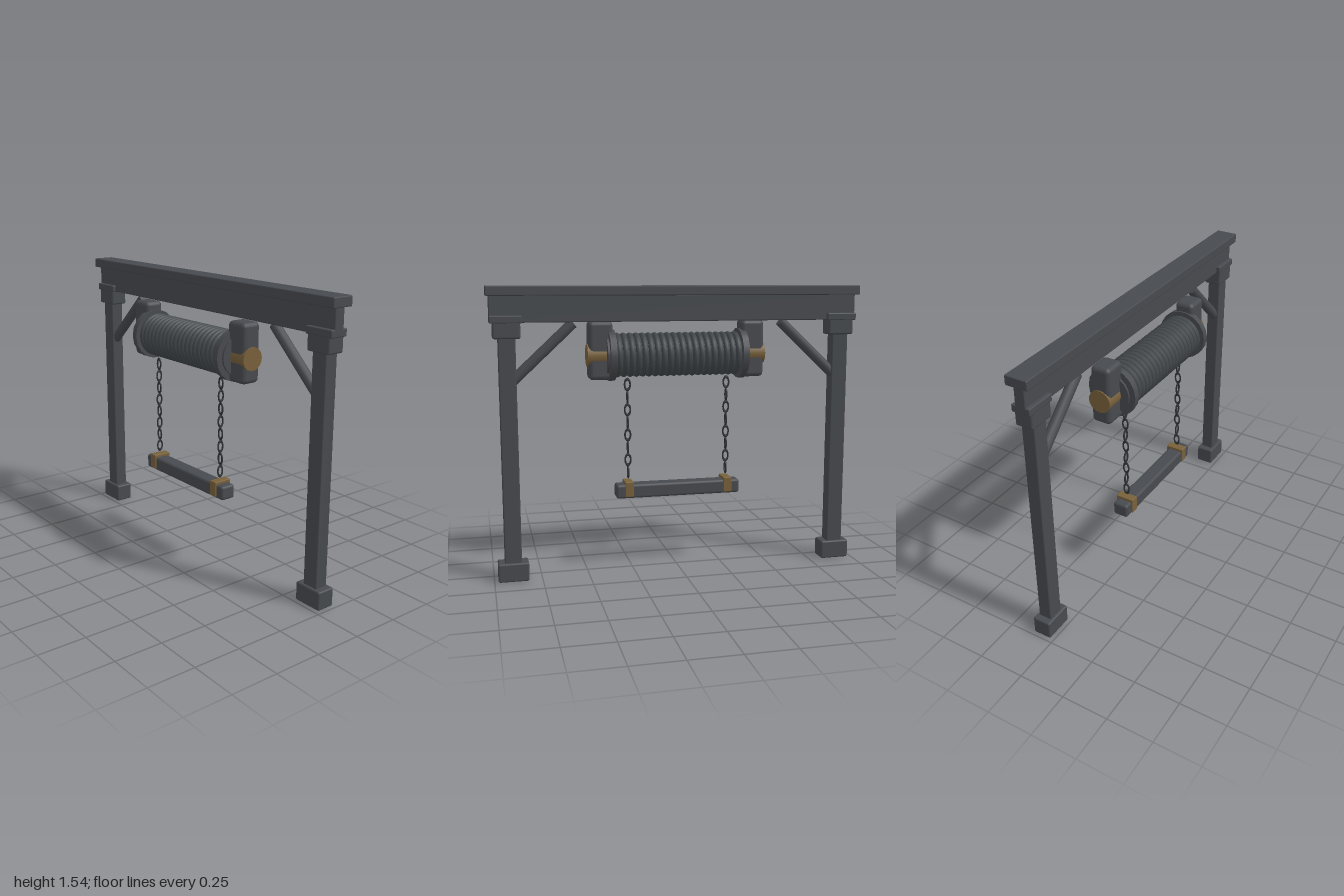
import * as THREE from 'three';
import { RoundedBoxGeometry } from 'three/addons/geometries/RoundedBoxGeometry.js';

const mat = (name, color) => new THREE.MeshStandardMaterial({ name, color });

export function createModel() {
  const model = new THREE.Group();
  model.name = 'hoistFrame';
  const iron = mat('slateIron', 0x474a4e);
  const rope = mat('darkRope', 0x43484b);
  const chainIron = mat('chainIron', 0x2e3336);
  const brass = mat('agedBrass', 0x78613b);

  const add = (name, geometry, material, x, y, z, parent = model) => {
    const mesh = new THREE.Mesh(geometry, material);
    mesh.name = name;
    mesh.position.set(x, y, z);
    parent.add(mesh);
    return mesh;
  };
  // Softened box given by its extents on each axis
  const block = (name, material, [x0, x1], [y0, y1], [z0, z1], r = 0.006) =>
    add(name, new RoundedBoxGeometry(x1 - x0, y1 - y0, z1 - z0, 2, r), material,
      (x0 + x1) / 2, (y0 + y1) / 2, (z0 + z1) / 2);
  // Cylinder lying along x
  const roller = (name, material, radius, length, sides, x) => {
    const g = new THREE.CylinderGeometry(radius, radius, length, sides);
    g.rotateZ(Math.PI / 2);
    return add(name, g, material, x, drumY, 0);
  };
  const drumY = 1.171;

  // Top beam and its cap
  block('beamCap', iron, [-1, 1], [1.485, 1.536], [-0.13, -0.01]);
  block('beam', iron, [-0.985, 0.985], [1.35, 1.49], [-0.098, -0.04]);

  for (const s of [-1, 1]) {
    const span = (a, b) => (s > 0 ? [a, b] : [-b, -a]);

    // Posts with foot, capital and collar
    block('foot', iron, span(0.82, 0.98), [0, 0.1], [-0.12, -0.02], 0.009);
    block('post', iron, span(0.856, 0.944), [0.08, 1.29], [-0.107, -0.035]);
    block('capital', iron, span(0.83, 0.97), [1.27, 1.382], [-0.118, -0.022], 0.01);
    block('collar', iron, span(0.82, 0.985), [1.348, 1.387], [-0.12, -0.02]);

    // Diagonal brace
    const low = new THREE.Vector3(s * 0.9, 1.03, -0.07);
    const high = new THREE.Vector3(s * 0.562, 1.345, -0.07);
    const dir = high.clone().sub(low);
    const brace = add('brace', new THREE.CylinderGeometry(0.028, 0.028, dir.length(), 12),
      iron, 0, 0, 0);
    brace.position.copy(low).add(high).multiplyScalar(0.5);
    brace.quaternion.setFromUnitVectors(new THREE.Vector3(0, 1, 0), dir.normalize());

    // Drum bearing, flange, hub and brass axle end
    block('bearingCheek', iron, span(0.35, 0.479), [1.043, 1.352], [-0.054, 0.054], 0.024);
    roller('drumFlange', iron, 0.136, 0.034, 18, s * 0.357);
    roller('drumHub', iron, 0.104, 0.05, 18, s * 0.36);
    roller('axleEnd', brass, 0.06, 0.12, 20, s * 0.425);
  }

  // Drum core and rope coils
  roller('drumCore', rope, 0.102, 0.7, 24, 0);
  const coilGeometry = new THREE.TorusGeometry(0.102, 0.0165, 8, 32);
  coilGeometry.rotateY(Math.PI / 2);
  const coils = 20;
  for (let i = 0; i < coils; i++) {
    add('ropeCoil', coilGeometry, rope, -0.323 + (0.646 * i) / (coils - 1), drumY, 0);
  }

  // Hanging bar
  block('hangingBar', iron, [-0.357, 0.336], [0.39, 0.467], [-0.023, 0.063], 0.014);

  // Chains and the brass straps that hold the bar
  const linkGeometry = new THREE.TorusGeometry(0.0155, 0.0046, 6, 16);
  linkGeometry.scale(1, 1.85, 1);
  for (const x of [-0.287, 0.265]) {
    const chain = new THREE.Group();
    chain.name = 'chain';
    model.add(chain);
    for (let i = 0; i < 8; i++) {
      const link = add('chainLink', linkGeometry, chainIron, x, 1.01 - i * 0.0686, 0.02, chain);
      link.rotation.y = i % 2 ? Math.PI / 2 : 0;
    }
    block('strap', brass, [x - 0.023, x + 0.023], [0.4, 0.482], [-0.031, 0.071], 0.004);
  }
  return model;
}
